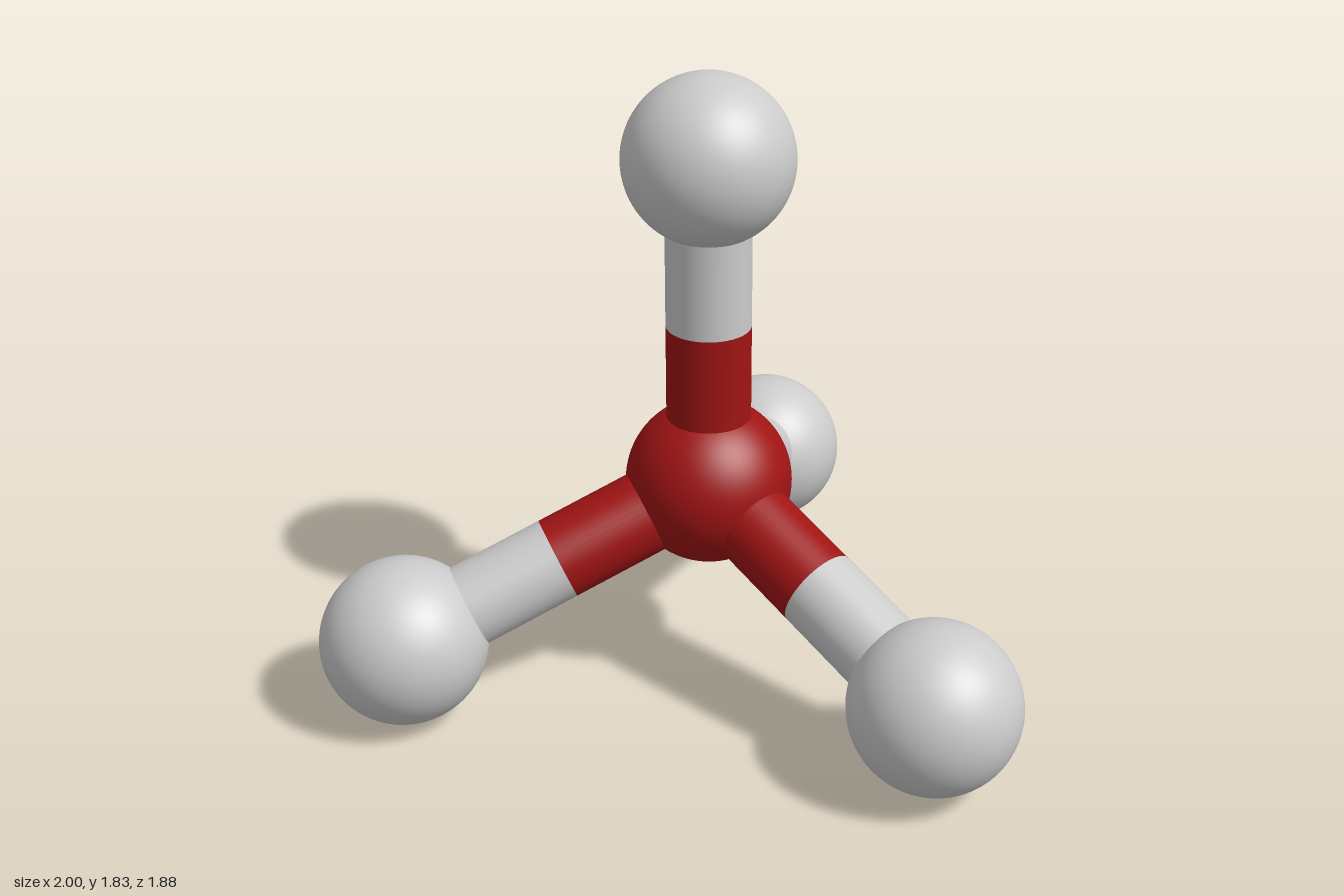
import * as THREE from 'three';

export function createModel() {
  const model = new THREE.Group();
  const grey = new THREE.MeshStandardMaterial({ color: 0xcccccc });
  const red = new THREE.MeshStandardMaterial({ color: 0xa01414 });
  const ballRadius = 0.24, bondRadius = 0.121;
  const ballGeometry = new THREE.SphereGeometry(ballRadius, 64, 40);

  function addBall(name, position, material) {
    const ball = new THREE.Mesh(ballGeometry, material);
    ball.name = name;
    ball.position.copy(position);
    model.add(ball);
  }

  // Rod between two points, its ends hidden inside the balls
  function addRod(name, from, to, material) {
    const direction = to.clone().sub(from);
    const length = direction.length();
    const rod = new THREE.Mesh(
      new THREE.CylinderGeometry(bondRadius, bondRadius, length, 48), material);
    rod.name = name;
    rod.position.copy(from).lerp(to, 0.5);
    rod.quaternion.setFromUnitVectors(new THREE.Vector3(0, 1, 0), direction.normalize());
    model.add(rod);
  }

  // Central atom
  const centre = new THREE.Vector3(0.03, 0.615, 0.2);
  addBall('centralAtom', centre, red);

  // Four outer atoms, each joined by a two-coloured bond split halfway
  const outerAtoms = {
    top: [0.03, 1.59, 0.2],
    back: [0.03, 0.26, -0.705],
    right: [-0.76, 0.243, 0.65],
    left: [0.757, 0.262, 0.695],
  };
  for (const [side, coords] of Object.entries(outerAtoms)) {
    const end = new THREE.Vector3(...coords);
    const middle = centre.clone().lerp(end, 0.5);
    addBall(side + 'Atom', end, grey);
    addRod(side + 'BondInner', centre, middle, red);
    addRod(side + 'BondOuter', middle, end, grey);
  }
  return model;
}
